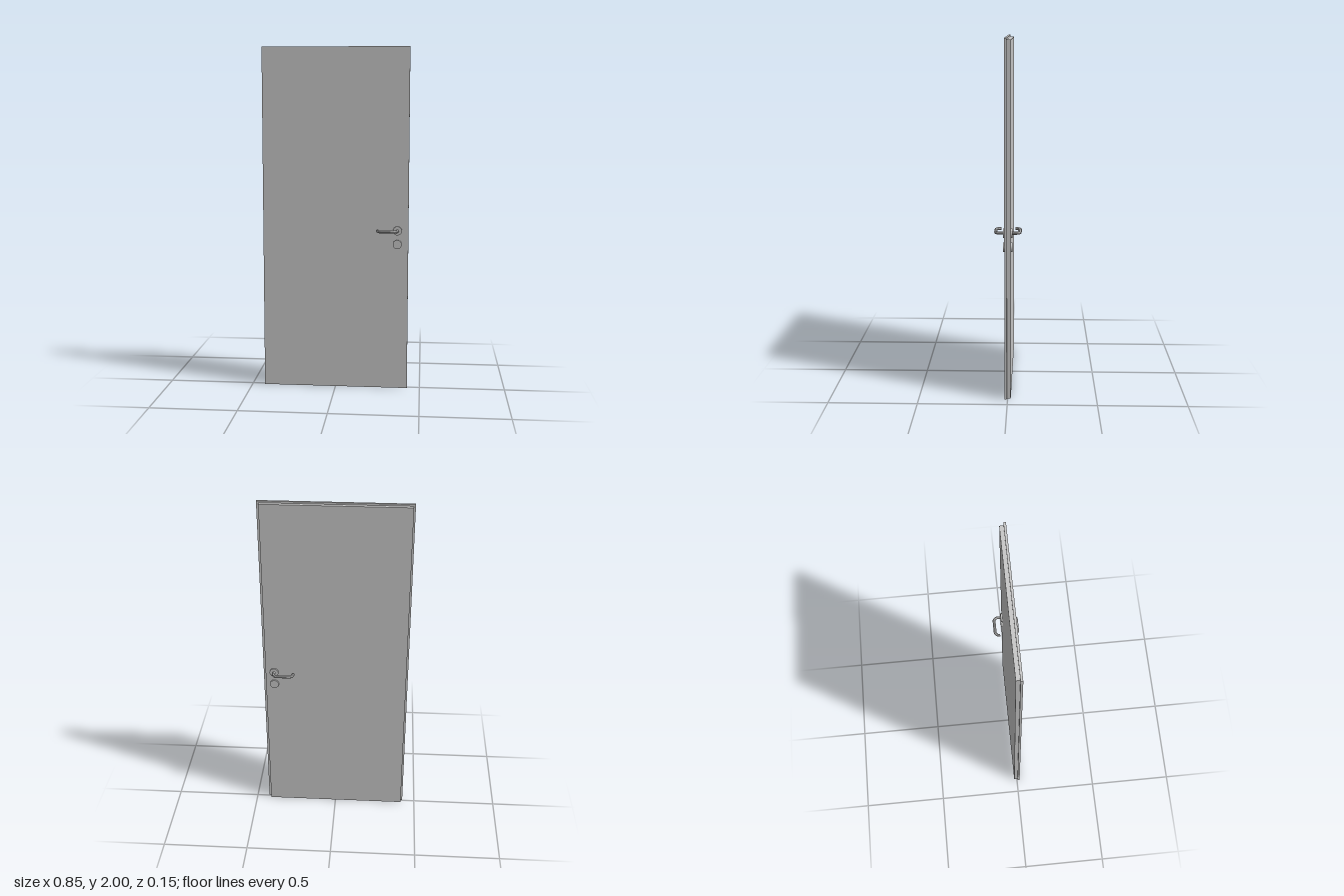
import * as THREE from 'three';

const grey = new THREE.MeshStandardMaterial({ color: 0xc6c6c6 });
grey.name = 'lightGrey';

const FACE = 0.0175;              // half thickness of the leaf
const HX = 0.3615, HY = 0.944;    // lever spindle
const KEY_Y = 0.864;
const TIP_X = 0.248, TIP_Z = 0.039;
const TUBE = 0.0087;

function add(parent, name, geometry, x, y, z) {
  const mesh = new THREE.Mesh(geometry, grey);
  mesh.name = name;
  mesh.position.set(x, y, z);
  parent.add(mesh);
  return mesh;
}

// Box standing on the floor, given by its limits
function slab(parent, name, x0, x1, y1, z0, z1) {
  add(parent, name, new THREE.BoxGeometry(x1 - x0, y1, z1 - z0), (x0 + x1) / 2, y1 / 2, (z0 + z1) / 2);
}

// Round disc lying against the door face
function rose(parent, name, y, side) {
  const geometry = new THREE.CylinderGeometry(0.026, 0.026, 0.009, 24).rotateX(Math.PI / 2);
  add(parent, name, geometry, HX, y, side * (FACE + 0.0045));
}

// U-shaped lever path with two quarter-round bends
function leverPath(side) {
  const v = (x, z) => new THREE.Vector3(x, 0, side * z);
  const out = 0.0675, r = 0.022, k = r * 0.448;
  const path = new THREE.CurvePath();
  path.add(new THREE.LineCurve3(v(HX, FACE), v(HX, out - r)));
  path.add(new THREE.CubicBezierCurve3(v(HX, out - r), v(HX, out - k), v(HX - k, out), v(HX - r, out)));
  path.add(new THREE.LineCurve3(v(HX - r, out), v(TIP_X + r, out)));
  path.add(new THREE.CubicBezierCurve3(v(TIP_X + r, out), v(TIP_X + k, out), v(TIP_X, out - k), v(TIP_X, out - r)));
  path.add(new THREE.LineCurve3(v(TIP_X, out - r), v(TIP_X, TIP_Z)));
  return path;
}

// One handle set; side is 1 for the front face and -1 for the back
function handleSet(name, side) {
  const set = new THREE.Group();
  set.name = name;
  rose(set, 'handleRose', HY, side);
  rose(set, 'keyRose', KEY_Y, side);

  // Faceted lever tube
  const tube = new THREE.TubeGeometry(leverPath(side), 64, TUBE, 8).toNonIndexed();
  tube.computeVertexNormals();
  add(set, 'lever', tube, 0, HY, 0);

  // Flat cap closing the lever tip, facing the door
  const cap = add(set, 'leverTip', new THREE.CircleGeometry(TUBE, 8), TIP_X, HY, side * TIP_Z);
  cap.rotation.y = side > 0 ? Math.PI : 0;
  return set;
}

export function createModel() {
  const door = new THREE.Group();
  door.name = 'door';

  // Rebated leaf: wide front panel over a narrower back panel
  slab(door, 'frontPanel', -0.4255, 0.4255, 2, 0.0045, FACE);
  slab(door, 'backPanel', -0.4155, 0.4115, 1.99, -FACE, 0.0045);

  // Matching handles on both faces
  door.add(handleSet('frontHandle', 1), handleSet('backHandle', -1));
  return door;
}
